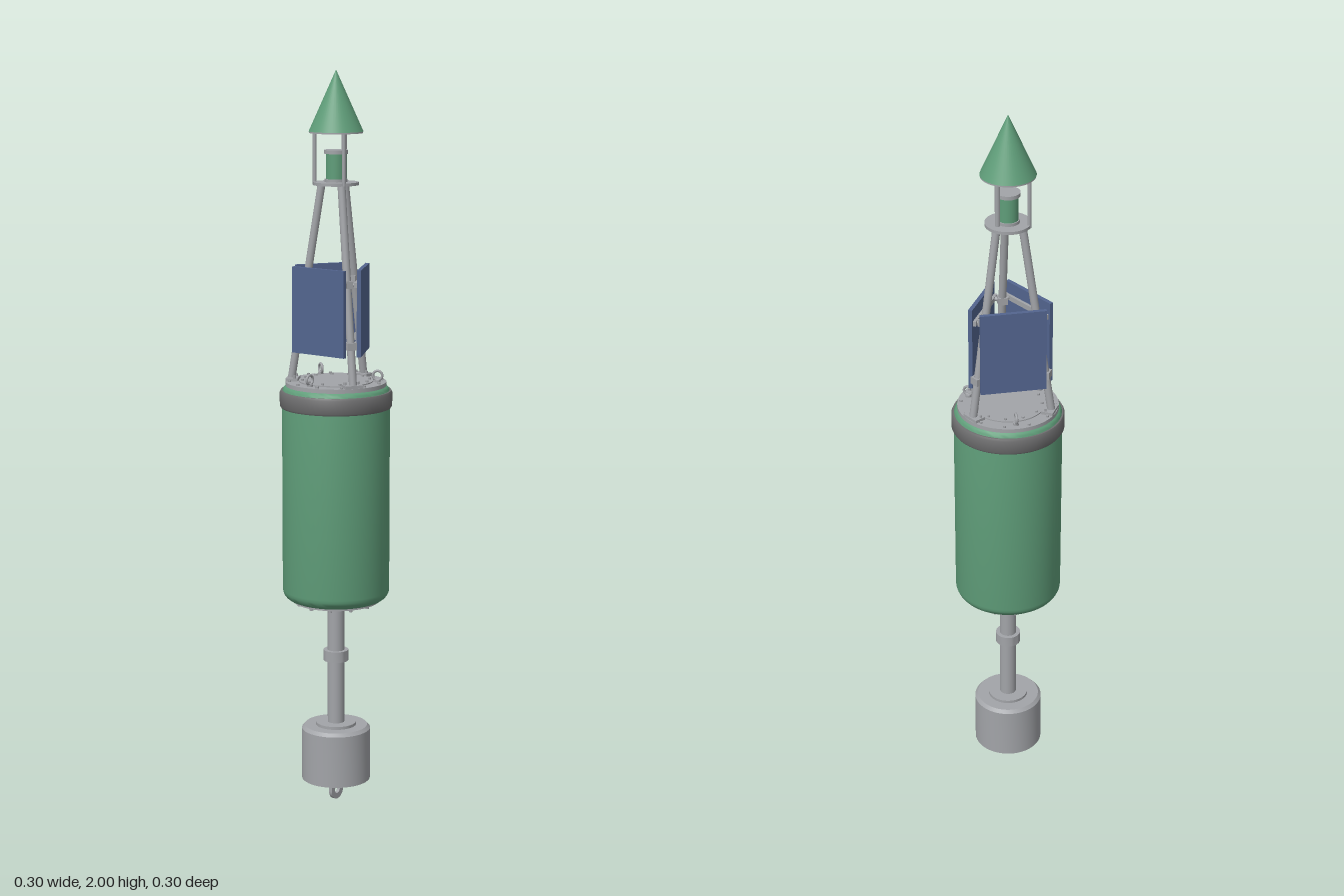
import * as THREE from 'three';
import { toCreasedNormals } from 'three/addons/utils/BufferGeometryUtils.js';

const mat = (name, color) => {
  const m = new THREE.MeshStandardMaterial({ color });
  m.name = name;
  return m;
};

export function createModel() {
  const root = new THREE.Group();
  root.name = 'buoy';
  const green = mat('green paint', 0x5f9d79);
  const steel = mat('galvanised steel', 0xa2a4a8);
  const rubber = mat('fender rubber', 0x6f6f70);
  const blue = mat('solar blue', 0x53658f);

  const add = (parent, name, geo, m, x = 0, y = 0, z = 0) => {
    const mesh = new THREE.Mesh(geo, m);
    mesh.name = name;
    mesh.position.set(x, y, z);
    parent.add(mesh);
    return mesh;
  };
  // turned part from [radius, height] pairs, bottom to top
  const lathe = (parent, name, pts, m, seg = 64) => add(parent, name,
    toCreasedNormals(new THREE.LatheGeometry(pts.map(p => new THREE.Vector2(...p)), seg), 0.6), m);
  const cyl = (parent, name, r, y0, y1, m, x = 0, z = 0, seg = 24) => add(parent, name,
    new THREE.CylinderGeometry(r, r, y1 - y0, seg), m, x, (y0 + y1) / 2, z);
  const rod = (parent, name, a, b, r, m) => {
    const A = new THREE.Vector3(...a), B = new THREE.Vector3(...b);
    const mesh = add(parent, name, new THREE.CylinderGeometry(r, r, A.distanceTo(B), 16), m);
    mesh.position.copy(A).lerp(B, 0.5);
    mesh.quaternion.setFromUnitVectors(new THREE.Vector3(0, 1, 0), B.sub(A).normalize());
    return mesh;
  };
  // ring of bolts on a horizontal plate
  const bolts = (name, n, r, y0, y1, size, offset = 0) => {
    const ring = new THREE.Group();
    ring.name = name;
    for (let i = 0; i < n; i++) {
      const a = offset + i / n * Math.PI * 2;
      cyl(ring, 'bolt', size, y0, y1, steel, Math.sin(a) * r, Math.cos(a) * r, 6);
    }
    root.add(ring);
  };

  // float with rounded shoulders
  const hull = [[0, 0.575], [0.115, 0.575]];
  for (let i = 1; i <= 6; i++) {
    const a = i / 6 * Math.PI / 2;
    hull.push([0.115 + 0.03 * Math.sin(a), 0.605 - 0.03 * Math.cos(a)]);
  }
  for (let i = 0; i <= 6; i++) {
    const a = i / 6 * Math.PI / 2;
    hull.push([0.12 + 0.025 * Math.cos(a), 1.145 + 0.025 * Math.sin(a)]);
  }
  hull.push([0, 1.17]);
  lathe(root, 'floatBody', hull, green);
  lathe(root, 'fender', [[0.143, 1.107], [0.148, 1.107], [0.151, 1.112], [0.151, 1.147],
    [0.148, 1.153], [0.143, 1.153]], rubber);
  cyl(root, 'topPlate', 0.135, 1.165, 1.176, steel, 0, 0, 64);
  cyl(root, 'hatch', 0.1, 1.17, 1.179, steel, 0, 0, 48);
  cyl(root, 'bottomPlate', 0.118, 0.57, 0.58, steel, 0, 0, 64);
  cyl(root, 'poleFlange', 0.055, 0.562, 0.575, steel, 0, 0, 32);
  bolts('hatchBolts', 12, 0.09, 1.175, 1.184, 0.004, Math.PI / 12);
  bolts('rimBolts', 12, 0.125, 1.173, 1.181, 0.004, Math.PI / 12);
  bolts('bottomBolts', 12, 0.107, 0.563, 0.573, 0.005);
  bolts('flangeBolts', 8, 0.043, 0.556, 0.565, 0.004);

  // ballast pole and counterweight
  cyl(root, 'ballastPole', 0.023, 0.2, 0.575, steel);
  lathe(root, 'poleCollar', [[0.022, 0.4], [0.034, 0.4], [0.034, 0.43], [0.022, 0.43]], steel, 32);
  lathe(root, 'counterweight', [[0, 0.063], [0.094, 0.063], [0.094, 0.207], [0.086, 0.216],
    [0.055, 0.216], [0.055, 0.224], [0, 0.224]], steel, 48);

  // mooring lug with an eye
  const lug = new THREE.Shape();
  lug.moveTo(-0.025, 0.066);
  lug.lineTo(-0.025, 0.025);
  lug.absarc(0, 0.025, 0.025, Math.PI, Math.PI * 2, false);
  lug.lineTo(0.025, 0.066);
  lug.closePath();
  const eye = new THREE.Path();
  eye.absarc(0, 0.027, 0.011, 0, Math.PI * 2, true);
  lug.holes.push(eye);
  const lugGeo = new THREE.ExtrudeGeometry(lug, { depth: 0.01, bevelEnabled: false, curveSegments: 16 });
  lugGeo.translate(0, 0, -0.005).rotateY(Math.PI / 2);
  add(root, 'mooringLug', lugGeo, steel);

  // three identical sides: panel and lifting eye face out, leg stands opposite
  for (let i = 0; i < 3; i++) {
    const side = new THREE.Group();
    side.name = 'towerSide' + (i + 1);
    side.rotation.y = i * Math.PI * 2 / 3;
    root.add(side);

    rod(side, 'towerLeg', [0, 1.178, -0.121], [0, 1.705, -0.038], 0.0105, steel);
    add(side, 'footPlate', new THREE.BoxGeometry(0.05, 0.008, 0.032), steel, 0, 1.18, -0.117);
    for (const x of [-0.018, 0.018]) cyl(side, 'footBolt', 0.004, 1.182, 1.191, steel, x, -0.11, 6);

    add(side, 'solarPanel', new THREE.BoxGeometry(0.174, 0.23, 0.011), blue, 0, 1.37, 0.073);
    for (const y of [1.285, 1.445]) {
      add(side, 'panelRail', new THREE.BoxGeometry(0.165, 0.014, 0.008), steel, 0, y, 0.063);
      const r = 0.121 - (y - 1.178) / 0.527 * 0.083;
      for (const s of [-1, 1]) {
        const x = s * r * 0.866;
        rod(side, 'panelBracket', [x, y, r / 2], [x, y, 0.064], 0.006, steel);
        add(side, 'legClamp', new THREE.BoxGeometry(0.026, 0.02, 0.026), steel, x, y, r / 2)
          .rotation.y = s * Math.PI / 3;
      }
    }

    const ring = add(side, 'liftingEye', new THREE.TorusGeometry(0.0125, 0.0035, 10, 24), steel, 0, 1.194, 0.112);
    ring.rotation.y = Math.PI / 2;
    cyl(side, 'eyeBase', 0.008, 1.174, 1.182, steel, 0, 0.112, 16);
  }

  // lantern platform and lantern
  cyl(root, 'lanternPlatform', 0.06, 1.7, 1.708, steel, 0, 0, 48);
  cyl(root, 'lanternBase', 0.03, 1.708, 1.716, steel);
  cyl(root, 'lantern', 0.027, 1.714, 1.784, green, 0, 0, 32);
  cyl(root, 'lanternCap', 0.032, 1.782, 1.792, steel, 0, 0, 32);

  // topmark posts and cone
  for (const x of [-0.049, 0.049]) cyl(root, 'topmarkPost', 0.005, 1.7, 1.845, steel, x, 0.029, 12);
  cyl(root, 'backPost', 0.007, 1.7, 1.845, steel, 0, -0.035, 12);
  cyl(root, 'conePlate', 0.071, 1.836, 1.841, steel, 0, 0, 48);
  add(root, 'topmarkCone', new THREE.ConeGeometry(0.072, 0.16, 48), green, 0, 1.92, 0);
  return root;
}
